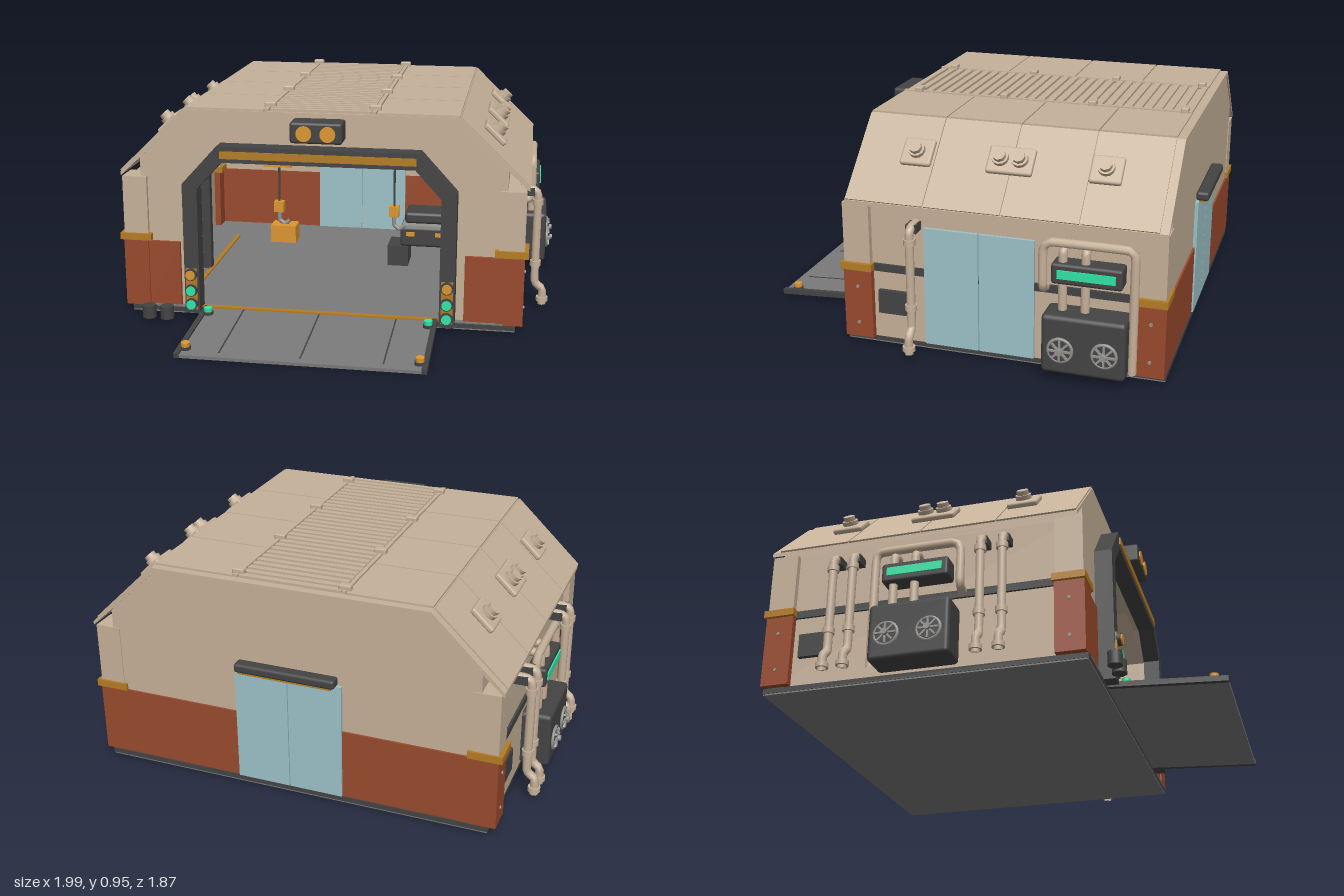
import * as THREE from 'three';
import { RoundedBoxGeometry } from 'three/addons/geometries/RoundedBoxGeometry.js';

const mat = (name, color) => new THREE.MeshStandardMaterial({ name, color });

export function createModel() {
  const root = new THREE.Group();
  root.name = 'hangar';
  const M = {
    beige: mat('beige panel', 0xc6b199), rust: mat('rust paint', 0x9a4a2d), dark: mat('dark metal', 0x444445),
    grey: mat('grey floor', 0x7b7b7b), gold: mat('amber paint', 0xdc962f), deep: mat('deep amber trim', 0xb57c24),
    green: mat('green light', 0x30e6a6), glass: mat('pale blue door', 0x9dc3c9), steel: mat('steel', 0x969490),
  };
  const add = (name, geo, m, x = 0, y = 0, z = 0, parent = root) => {
    const mesh = new THREE.Mesh(geo, m);
    mesh.name = name;
    mesh.position.set(x, y, z);
    parent.add(mesh);
    return mesh;
  };
  // Box from its limits on each axis, with optional rounded edges
  const box = (name, m, x0, x1, y0, y1, z0, z1, parent = root, round = 0) => {
    const size = [Math.abs(x1 - x0), y1 - y0, z1 - z0];
    const geo = round ? new RoundedBoxGeometry(...size, 2, round) : new THREE.BoxGeometry(...size);
    return add(name, geo, m, (x0 + x1) / 2, (y0 + y1) / 2, (z0 + z1) / 2, parent);
  };
  const cyl = (name, m, r, h, x, y, z, axis = 'y', parent = root, sides = 16) => {
    const g = new THREE.CylinderGeometry(r, r, h, sides);
    if (axis === 'x') g.rotateZ(Math.PI / 2);
    if (axis === 'z') g.rotateX(Math.PI / 2);
    return add(name, g, m, x, y, z, parent);
  };
  const prism = (name, m, pts, z0, z1) => {
    const shape = new THREE.Shape(pts.map(p => new THREE.Vector2(...p)));
    return add(name, new THREE.ExtrudeGeometry(shape, { depth: z1 - z0, bevelEnabled: false }), m, 0, 0, z0);
  };
  // Straight bar between two points
  const bar = (name, m, a, b, t) => {
    const A = new THREE.Vector3(...a), B = new THREE.Vector3(...b);
    const mesh = add(name, new THREE.BoxGeometry(t, t, A.distanceTo(B)), m);
    mesh.position.copy(A).add(B).multiplyScalar(0.5);
    mesh.lookAt(B);
  };
  const pipe = (name, pts, r = 0.018, m = M.beige) => {
    const c = new THREE.CatmullRomCurve3(pts.map(p => new THREE.Vector3(...p)), false, 'catmullrom', 0.15);
    return add(name, new THREE.TubeGeometry(c, 40, r, 10), m);
  };
  const mirror = pts => [...pts, ...pts.map(([x, y]) => [-x, y]).reverse()];

  // Base and floor
  box('base', M.dark, -0.84, 0.84, 0.014, 0.035, -0.89, 0.45);
  box('baseUnderside', M.grey, -0.838, 0.838, 0.008, 0.014, -0.888, 0.448);
  box('floor', M.grey, -0.79, 0.79, 0.035, 0.041, -0.86, 0.45);
  box('thresholdStripe', M.deep, -0.52, 0.52, 0.041, 0.048, 0.435, 0.46);

  // Walls
  const wallTop = [[0.79, 0.7], [0.585, 0.9]];
  prism('backWall', M.beige, mirror([[0.79, 0.04], ...wallTop]), -0.88, -0.86);
  prism('frontWall', M.beige, [[0.53, 0.04], [0.79, 0.04], ...wallTop, [-0.585, 0.9], [-0.79, 0.7],
    [-0.79, 0.04], [-0.53, 0.04], [-0.53, 0.59], [-0.42, 0.72], [0.42, 0.72], [0.53, 0.59]], 0.40, 0.425);
  for (const s of [-1, 1]) {
    box('sideWall', M.beige, s * 0.79, s * 0.842, 0.035, 0.62, -0.87, 0.41);
    box('upperSideWall', M.beige, s * 0.77, s * 0.79, 0.6, 0.7, -0.87, 0.41);
    box('sideBand', M.dark, s * 0.84, s * 0.852, 0.33, 0.362, -0.78, 0.34);
    box('floorStripe', M.deep, s * 0.61, s * 0.63, 0.041, 0.047, -0.6, 0.36);
    box('frontRustPanel', M.rust, s * 0.62, s * 0.77, 0.04, 0.33, 0.425, 0.44);
    // Corner pillars
    for (const [z0, z1] of [[0.325, 0.447], [-0.888, -0.77]]) {
      box('pillarFoot', M.rust, s * 0.76, s * 0.87, 0.035, 0.335, z0, z1);
      box('pillarBand', M.deep, s * 0.745, s * 0.885, 0.335, 0.365, z0 - 0.006, z1 + 0.006);
      box('pillarTop', M.beige, s * 0.76, s * 0.868, 0.365, 0.62, z0 + 0.004, z1 - 0.004);
      for (const y of [0.1, 0.26]) cyl('pillarBolt', M.steel, 0.007, 0.006, s * 0.872, y, (z0 + z1) / 2, 'x');
    }
    box('backRustPanel', M.rust, s * 0.23, s * 0.77, 0.037, 0.337, -0.888, -0.852);
  }

  // Roof shell and its panels
  prism('roofShell', M.beige, [[0.88, 0.635], [0.585, 0.92], [-0.585, 0.92], [-0.88, 0.635], [-0.88, 0.618],
    [-0.575, 0.9], [0.575, 0.9], [0.88, 0.618]], -0.885, 0.425);
  const rows = [[-0.85, -0.548], [-0.542, -0.233], [-0.227, 0.087], [0.093, 0.42]];
  for (const s of [-1, 1]) {
    const slope = new THREE.Group();
    slope.name = 'slopedRoof';
    slope.position.set(s * 0.7325, 0.7775, 0);
    slope.rotation.z = -s * 0.768;
    root.add(slope);
    for (const [z0, z1] of rows) {
      box('roofPanel', M.beige, s * 0.24, s * 0.583, 0.92, 0.928, z0, z1);
      box('slopePanel', M.beige, -0.203, 0.203, 0, 0.007, z0, z1, slope);
    }
    // Sloped roof beacons
    for (const [zc, w, bolts] of [[0.165, 0.13, [0]], [-0.225, 0.19, [-0.04, 0.04]], [-0.61, 0.13, [0]]]) {
      const x = -s * 0.03;
      box('beaconPlate', M.beige, x - 0.06, x + 0.06, 0.004, 0.03, zc - w / 2, zc + w / 2, slope, 0.01);
      for (const d of bolts) {
        cyl('beaconCollar', M.beige, 0.034, 0.02, x, 0.038, zc + d, 'y', slope, 12);
        cyl('beaconCap', M.beige, 0.026, 0.022, x, 0.056, zc + d, 'y', slope, 8);
      }
    }
    for (const z of [-0.82, -0.43, -0.04, 0.35])
      box('roofClamp', M.beige, s * 0.2, s * 0.25, 0.92, 0.95, z - 0.016, z + 0.016, root, 0.006);
    box('grilleRail', M.beige, s * 0.22, s * 0.236, 0.92, 0.932, -0.85, 0.42);
  }
  for (let i = 0; i < 30; i++) {
    const z = -0.835 + i * 0.0425;
    box('grilleSlat', M.beige, -0.215, 0.215, 0.92, 0.931, z - 0.013, z + 0.013);
  }

  // Entrance frame with signal lights
  prism('entranceFrame', M.dark, [[0.585, 0.03], [0.585, 0.61], [0.43, 0.78], [-0.43, 0.78],
    [-0.585, 0.61], [-0.585, 0.03], [-0.52, 0.03], [-0.52, 0.59], [-0.41, 0.71], [0.41, 0.71],
    [0.52, 0.59], [0.52, 0.03]], 0.425, 0.5);
  box('frameStripe', M.deep, -0.415, 0.415, 0.728, 0.76, 0.5, 0.506);
  for (const s of [-1, 1]) {
    box('signalPlate', M.deep, s * 0.528, s * 0.578, 0.05, 0.235, 0.5, 0.508);
    [[0.21, M.gold], [0.138, M.green], [0.075, M.green]].forEach(([y, m]) => {
      cyl('signalRim', M.dark, 0.027, 0.02, s * 0.553, y, 0.512, 'z');
      cyl('signalLight', m, 0.021, 0.028, s * 0.553, y, 0.514, 'z');
    });
  }
  // Twin lamp above the entrance
  box('lampHousing', M.dark, -0.11, 0.11, 0.81, 0.9, 0.42, 0.528, root, 0.012);
  for (const x of [-0.05, 0.05]) cyl('lampLens', M.gold, 0.033, 0.016, x, 0.853, 0.525, 'z', root, 24);

  // Ramp
  const ramp = new THREE.Group();
  ramp.name = 'ramp';
  ramp.position.set(0, 0.021, 0.69);
  ramp.rotation.x = 0.055;
  root.add(ramp);
  box('rampPlate', M.grey, -0.49, 0.49, -0.007, 0.007, -0.24, 0.238, ramp);
  for (const x of [-0.335, 0, 0.335]) box('rampSeam', M.dark, x - 0.003, x + 0.003, 0.007, 0.009, -0.23, 0.2, ramp);
  for (const s of [-1, 1]) {
    box('rampRail', M.dark, s * 0.49, s * 0.512, -0.007, 0.016, -0.24, 0.24, ramp);
    for (const [z, m] of [[-0.17, M.green], [0.18, M.gold]]) {
      cyl('rampLightBase', M.dark, 0.022, 0.016, s * 0.478, 0.012, z, 'y', ramp);
      cyl('rampLight', m, 0.018, 0.025, s * 0.478, 0.025, z, 'y', ramp);
    }
  }
  for (const x of [-0.74, -0.66]) cyl('bollard', M.dark, 0.03, 0.055, x, 0.04, 0.53);

  // Doors
  for (const s of [-1, 1]) {
    box('backDoorLeaf', M.glass, s * 0.002, s * 0.23, 0.037, 0.54, -0.895, -0.845);
    const zc = -0.13 + s * 0.116;
    box('sideDoorLeaf', M.glass, 0.78, 0.855, 0.037, 0.54, zc - 0.114, zc + 0.114);
  }
  box('backLampBar', M.dark, -0.215, 0.215, 0.543, 0.582, -0.935, -0.88, root, 0.012);
  box('backLampStrip', M.deep, -0.2, 0.2, 0.535, 0.545, -0.925, -0.895);

  // Wall pipes that bend out to a foot collar
  const wallPipe = (s, z) => {
    pipe('wallPipe', [[s * 0.82, 0.555, z], [s * 0.89, 0.555, z], [s * 0.915, 0.53, z], [s * 0.915, 0.14, z],
      [s * 0.95, 0.1, z], [s * 0.95, 0.03, z]]);
    cyl('pipeFoot', M.beige, 0.026, 0.02, s * 0.95, 0.055, z);
    for (const y of [0.22, 0.5]) cyl('pipeCollar', M.beige, 0.024, 0.025, s * 0.915, y, z);
    box('pipeBracket', M.dark, s * 0.84, s * 0.9, 0.53, 0.565, z - 0.022, z + 0.022);
  };
  wallPipe(1, 0.135);
  for (const z of [-0.585, -0.5, 0.04, 0.13]) wallPipe(-1, z);

  // Ventilation units with fans, sign and pipes
  const ventUnit = (s, zc) => {
    box('ventBox', M.dark, s * 0.83, s * 0.965, 0.045, 0.287, zc - 0.167, zc + 0.167, root, 0.018);
    for (const d of [-0.087, 0.087]) {
      const rim = add('fanRim', new THREE.TorusGeometry(0.047, 0.007, 6, 24), M.steel, s * 0.97, 0.15, zc + d);
      rim.rotation.y = Math.PI / 2;
      cyl('fanDisc', M.dark, 0.047, 0.02, s * 0.966, 0.15, zc + d, 'x', root, 24);
      for (let i = 0; i < 4; i++) {
        const blade = box('fanBlade', M.steel, s * 0.976, s * 0.984, 0.146, 0.154, zc + d - 0.044, zc + d + 0.044);
        blade.rotation.x = i * Math.PI / 4;
      }
      cyl('fanHub', M.steel, 0.013, 0.022, s * 0.985, 0.15, zc + d, 'x');
    }
    box('signFrame', M.dark, s * 0.84, s * 0.925, 0.402, 0.487, zc - 0.14, zc + 0.14, root, 0.012);
    box('signLight', M.green, s * 0.925, s * 0.931, 0.428, 0.463, zc - 0.115, zc + 0.115);
    for (const d of [0.1, 0.01]) pipe('ventPipe', [[s * 0.82, 0.54, zc + s * d], [s * 0.87, 0.54, zc + s * d],
      [s * 0.89, 0.52, zc + s * d], [s * 0.89, 0.28, zc + s * d]]);
    pipe('ventArch', [[s * 0.83, 0.35, zc + 0.18], [s * 0.89, 0.37, zc + 0.18], [s * 0.89, 0.53, zc + 0.18],
      [s * 0.89, 0.56, zc + 0.15], [s * 0.89, 0.56, zc - 0.15], [s * 0.89, 0.53, zc - 0.18], [s * 0.89, 0.05, zc - 0.18]]);
  };
  ventUnit(1, -0.585);
  ventUnit(-1, -0.23);
  box('accessBox', M.dark, 0.84, 0.862, 0.15, 0.25, 0.18, 0.3);
  box('accessBox', M.dark, -0.862, -0.84, 0.15, 0.25, -0.74, -0.62);

  // Overhead crane: truss, columns, cables, hoist
  const cz = -0.08;
  for (const y of [0.615, 0.675]) bar('trussChord', M.gold, [-0.65, y, cz], [0.65, y, cz], 0.022);
  for (let i = 0; i < 12; i++) {
    const x = -0.6 + i * 0.1, up = i % 2;
    bar('trussBrace', M.gold, [x, up ? 0.67 : 0.61, cz], [x + 0.1, up ? 0.61 : 0.67, cz], 0.012);
  }
  for (const s of [-1, 1]) box('craneColumn', M.dark, s * 0.62, s * 0.66, 0.04, 0.68, cz - 0.02, cz + 0.02);
  box('trolley', M.gold, -0.35, -0.22, 0.565, 0.61, cz - 0.05, cz + 0.05);
  for (const x of [-0.285, 0.26]) {
    cyl('cable', M.dark, 0.005, 0.19, x, 0.475, cz);
    box('hookBlock', M.gold, x - 0.023, x + 0.023, 0.34, 0.39, cz - 0.02, cz + 0.02);
    pipe('hook', [[x, 0.34, cz], [x, 0.3, cz], [x + 0.025, 0.28, cz], [x + 0.05, 0.3, cz]], 0.01, M.steel);
  }
  box('hoistLoad', M.gold, -0.32, -0.2, 0.2, 0.28, cz - 0.045, cz + 0.045);

  // Workbench
  box('benchTop', M.dark, 0.27, 0.52, 0.14, 0.24, -0.45, -0.25, root, 0.015);
  box('benchCase', M.dark, 0.29, 0.5, 0.25, 0.305, -0.43, -0.27, root, 0.015);
  box('benchShelf', M.steel, 0.28, 0.51, 0.235, 0.25, -0.44, -0.24);
  for (const x of [0.3, 0.44]) box('benchLabel', M.gold, x, x + 0.04, 0.195, 0.215, -0.25, -0.243);
  box('toolBox', M.dark, 0.21, 0.31, 0.041, 0.14, -0.4, -0.25);
  box('benchLeg', M.dark, 0.47, 0.51, 0.041, 0.14, -0.42, -0.28);
  return root;
}
